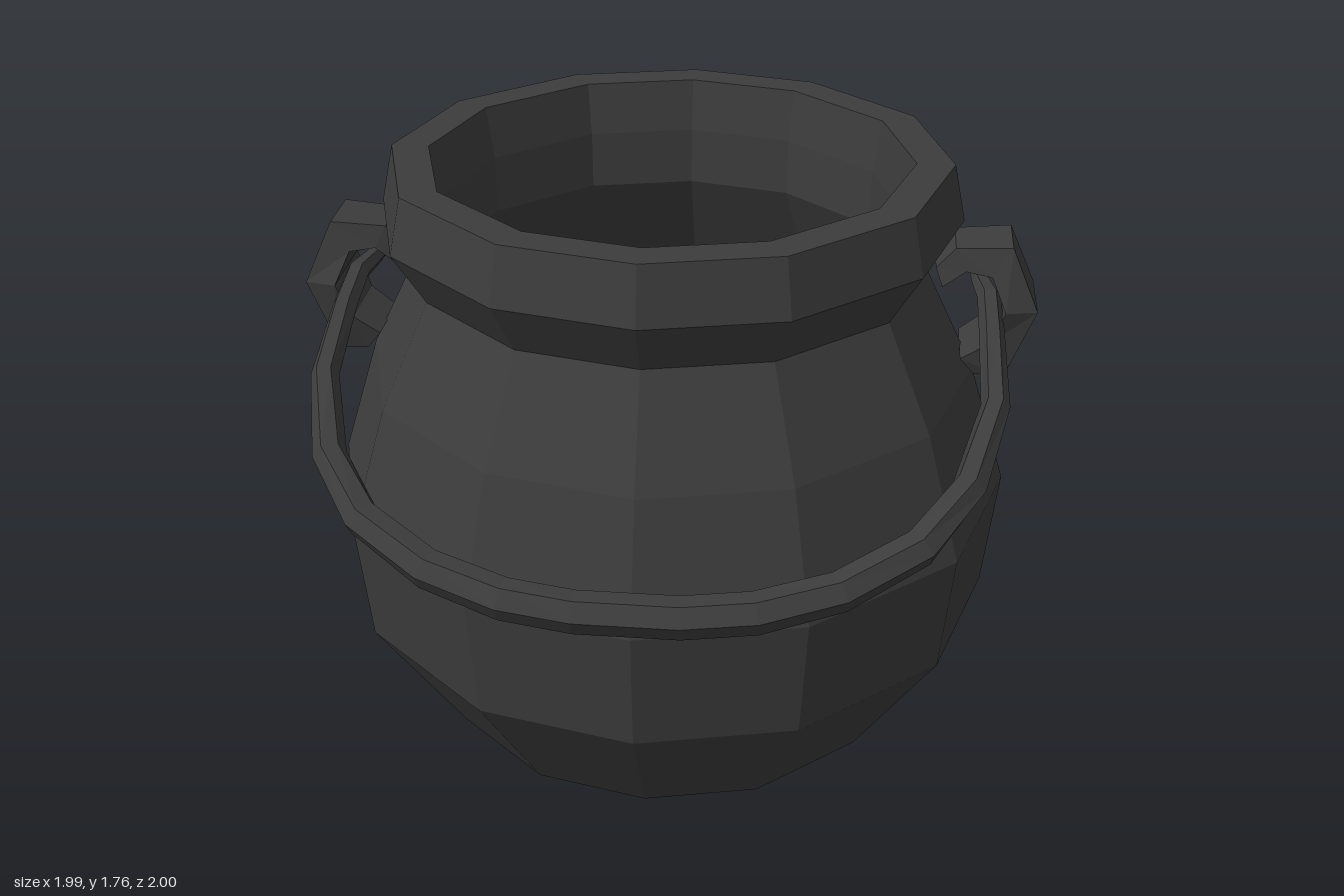
import * as THREE from 'three';

const iron = new THREE.MeshStandardMaterial({ color: 0x3c3c3c, flatShading: true });
iron.name = 'dark iron';

// Skin a list of closed rings (counterclockwise around the travel direction) and cap both ends.
function loft(name, rings) {
  const n = rings[0].length;
  const index = [];
  for (let i = 0; i < rings.length - 1; i++) {
    for (let j = 0; j < n; j++) {
      const a = i * n + j, b = i * n + (j + 1) % n;
      index.push(a, b, b + n, a, b + n, a + n);
    }
  }
  const last = (rings.length - 1) * n;
  for (let j = 1; j < n - 1; j++) {
    index.push(0, j + 1, j, last, last + j, last + j + 1);
  }
  const geometry = new THREE.BufferGeometry();
  geometry.setAttribute('position', new THREE.Float32BufferAttribute(rings.flat(2), 3));
  geometry.setIndex(index);
  const flat = geometry.toNonIndexed();
  flat.computeVertexNormals();
  const mesh = new THREE.Mesh(flat, iron);
  mesh.name = name;
  return mesh;
}

const mirrorRings = (rings) => rings.map((ring) => ring.map(([x, y, z]) => [-x, y, z]).reverse());

const CENTER_Z = -0.055;

// Twelve-sided hollow pot: up the outside, over the rim, down the inside.
function makePot() {
  const profile = [
    [0.01, 0], [0.55, 0.05], [0.66, 0.13], [0.91, 0.5], [0.947, 0.84], [0.84, 1.18],
    [0.70, 1.465], [0.79, 1.61], [0.757, 1.765],
    [0.655, 1.765], [0.63, 1.62], [0.625, 1.46],
    [0.76, 1.18], [0.86, 0.84], [0.82, 0.52], [0.57, 0.2], [0.01, 0.13],
  ];
  const quarter = [0, 27.5, 59];
  const angles = [
    ...quarter, 90, 121, 152.5, 180, 207.5, 239, 270, 301, 332.5,
  ].map(THREE.MathUtils.degToRad);
  return loft('pot', profile.map(([r, y]) =>
    angles.map((a) => [r * Math.sin(a), y, CENTER_Z + r * Math.cos(a)])));
}

// Hooked lug: outer x, outer y, inner x, inner y, half width.
function earRings() {
  const sections = [
    [0.72, 1.50, 0.74, 1.45, 0.08],
    [0.77, 1.56, 0.80, 1.50, 0.09],
    [0.92, 1.57, 0.87, 1.49, 0.10],
    [0.995, 1.40, 0.91, 1.40, 0.13],
    [0.92, 1.20, 0.87, 1.30, 0.11],
    [0.84, 1.20, 0.80, 1.25, 0.10],
  ];
  return sections.map(([ox, oy, ix, iy, w]) => [
    [ox, oy, CENTER_Z + w * 0.85], [ix, iy, CENTER_Z + w],
    [ix, iy, CENTER_Z - w], [ox, oy, CENTER_Z - w * 0.85],
  ]);
}

// Swinging handle, thin at its pointed ends and thick in the middle: x, y, z, radius.
function makeHandle() {
  const half = [
    [0.83, 1.39, -0.25, 0.006], [0.85, 1.40, -0.15, 0.025], [0.87, 1.40, -0.03, 0.032],
    [0.875, 1.36, 0.11, 0.034], [0.885, 1.25, 0.32, 0.038], [0.82, 1.14, 0.56, 0.045],
    [0.70, 1.055, 0.73, 0.05], [0.51, 0.99, 0.85, 0.052], [0.31, 0.96, 0.92, 0.054],
    [0.13, 0.95, 0.945, 0.054],
  ];
  const path = [...half, ...half.map(([x, ...rest]) => [-x, ...rest]).reverse()];
  const points = path.map(([x, y, z]) => new THREE.Vector3(x, y, z));
  const up = new THREE.Vector3(0, 1, 0);
  const rings = points.map((p, i) => {
    const before = points[Math.max(i - 1, 0)];
    const after = points[Math.min(i + 1, points.length - 1)];
    const t = after.clone().sub(before).normalize();
    const n = up.clone().addScaledVector(t, -t.y).normalize();
    const s = t.clone().cross(n);
    return Array.from({ length: 6 }, (_, k) => {
      const a = (k + 0.5) * Math.PI / 3;
      return p.clone()
        .addScaledVector(n, Math.cos(a) * path[i][3])
        .addScaledVector(s, Math.sin(a) * path[i][3]).toArray();
    });
  });
  return loft('handle', rings);
}

export function createModel() {
  const model = new THREE.Group();
  model.name = 'cauldron';
  const ear = earRings();
  model.add(
    makePot(),
    loft('leftEar', ear),
    loft('rightEar', mirrorRings(ear)),
    makeHandle(),
  );
  return model;
}
